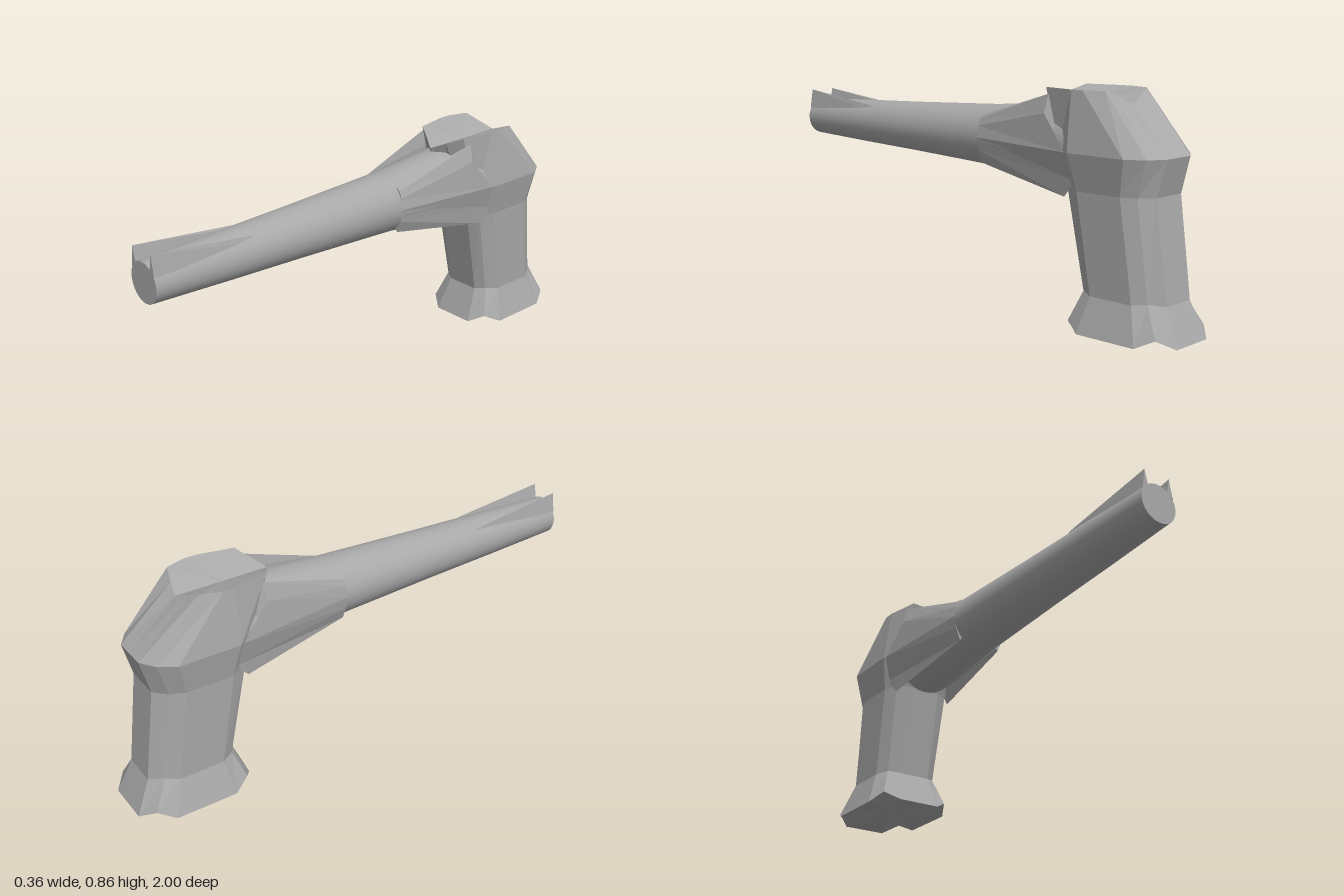
import * as THREE from 'three';

const grey = new THREE.MeshStandardMaterial({ color: 0xa8a8a8 });
grey.name = 'grey';
const greyFlat = grey;

// Skin a stack of equal-length rings (counterclockwise seen from the last ring) and close both ends.
function loft(rings, startCentre, endCentre) {
  const pos = [];
  const tri = (...pts) => pts.forEach((p) => pos.push(...p));
  const n = rings[0].length;
  const middle = (ring) => [0, 1, 2].map((k) => ring.reduce((s, p) => s + p[k], 0) / n);
  const first = rings[0], last = rings[rings.length - 1];
  const c0 = startCentre || middle(first), c1 = endCentre || middle(last);
  for (let i = 0; i < n; i++) {
    const j = (i + 1) % n;
    for (let r = 0; r < rings.length - 1; r++) {
      const a = rings[r], b = rings[r + 1];
      tri(a[i], a[j], b[j]);
      tri(a[i], b[j], b[i]);
    }
    tri(c0, first[j], first[i]);
    tri(c1, last[i], last[j]);
  }
  const g = new THREE.BufferGeometry();
  g.setAttribute('position', new THREE.Float32BufferAttribute(pos, 3));
  g.computeVertexNormals(); // unshared corners keep every facet flat
  return g;
}

// Half a ring, front centre to back centre, completed on the other side.
function fullRing(half) {
  const other = half.slice(1, -1).reverse().map(([x, y, z]) => [-x, y, z]);
  return [...half, ...other];
}

const mirrorRings = (rings) =>
  rings.map((r) => r.map(([x, y, z]) => [-x, y, z]).reverse());

// Column ring: y, corner y, front half width, corner x, side x, then six z values front to back.
function columnRing(y, cy, a, c, w, zf, zcf, zsf, zsb, zcb, zb) {
  return fullRing([
    [0, y, zf], [a, y, zf], [c, cy, zcf], [w, y, zsf],
    [w, y, zsb], [c, cy, zcb], [a, y, zb], [0, y, zb],
  ]);
}

export function createModel() {
  const model = new THREE.Group();
  const add = (name, geometry, material = greyFlat) => {
    const mesh = new THREE.Mesh(geometry, material);
    mesh.name = name;
    model.add(mesh);
    return mesh;
  };

  // Faceted head: flared foot, neck, shoulder and notched crown
  const crown = fullRing([
    [0, 0.81, -0.36], [0.055, 0.835, -0.395], [0.115, 0.86, -0.43], [0.145, 0.86, -0.57],
    [0.145, 0.86, -0.62], [0.12, 0.86, -0.7], [0.06, 0.835, -0.718], [0, 0.81, -0.735],
  ]);
  add('head', loft([
    columnRing(0, 0.033, 0.09, 0.147, 0.18, -0.53, -0.57, -0.635, -0.885, -0.95, -1),
    columnRing(0.135, 0.142, 0.07, 0.11, 0.137, -0.585, -0.61, -0.66, -0.84, -0.89, -0.94),
    columnRing(0.505, 0.505, 0.072, 0.12, 0.146, -0.515, -0.54, -0.6, -0.79, -0.845, -0.89),
    columnRing(0.64, 0.64, 0.07, 0.13, 0.172, -0.46, -0.5, -0.575, -0.82, -0.885, -0.925),
    crown,
  ], [0, 0.03, -0.765], [0, 0.81, -0.55]));

  // Tapered round handle along z, with a flat front end
  const profile = [
    [0.153, -0.56], [0.15, -0.45], [0.12, -0.09], [0.114, 0.05],
    [0.101, 0.36], [0.09, 0.68], [0.077, 1],
  ].map(([r, z]) => new THREE.Vector2(r, z));
  const handle = add('handle', new THREE.LatheGeometry(profile, 32).rotateX(Math.PI / 2), grey);
  handle.position.y = 0.65;
  const cap = add('handleEnd', new THREE.CircleGeometry(0.077, 32), grey);
  cap.position.set(0, 0.65, 1);

  // Cheek plates flaring from the handle to the head: outer edge upward, then inner edge down
  const cheek = [
    [
      [0.128, 0.475, -0.53], [0.142, 0.54, -0.59], [0.167, 0.64, -0.56], [0.15, 0.77, -0.45],
      [0.131, 0.838, -0.455], [0.122, 0.77, -0.455], [0.13, 0.65, -0.5], [0.118, 0.55, -0.54],
    ],
    [
      [0.092, 0.55, -0.09], [0.112, 0.6, -0.09], [0.121, 0.65, -0.09], [0.114, 0.695, -0.09],
      [0.104, 0.722, -0.09], [0.09, 0.735, -0.09], [0.09, 0.65, -0.09], [0.085, 0.56, -0.09],
    ],
  ];
  add('leftCheek', loft(cheek));
  add('rightCheek', loft(mirrorRings(cheek)));

  // Thin wedge fins rising toward the front end
  const fin = [
    [[0.069, 0.7, 0.59], [0.062, 0.724, 0.59], [0.056, 0.715, 0.59]],
    [[0.069, 0.69, 1], [0.056, 0.77, 1], [0.044, 0.714, 1]],
  ];
  add('leftFin', loft(fin));
  add('rightFin', loft(mirrorRings(fin)));

  return model;
}
